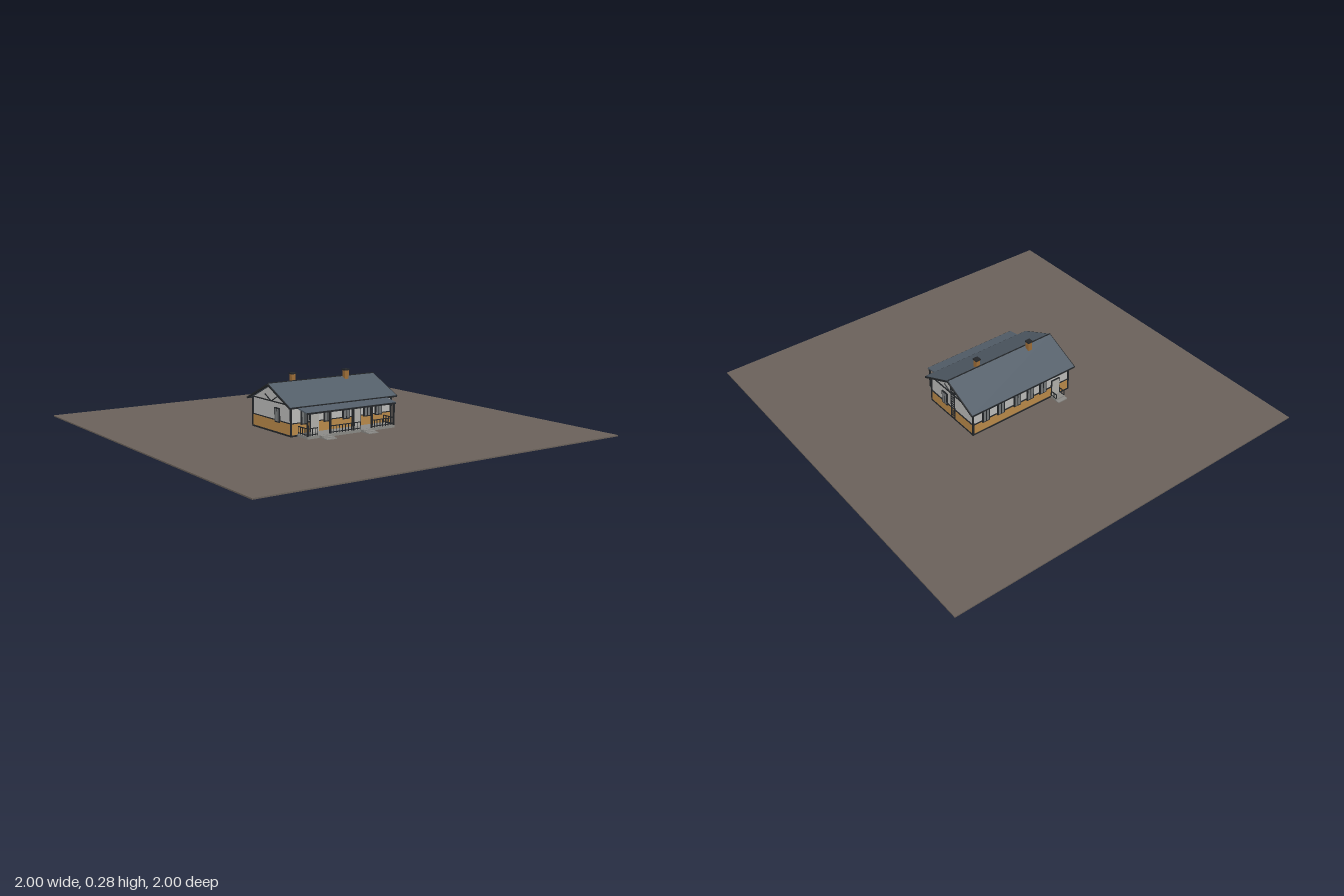
import * as THREE from 'three';

const material = (name, color) => {
  const m = new THREE.MeshStandardMaterial({ color });
  m.name = name;
  return m;
};

export function createModel() {
  const model = new THREE.Group();
  model.name = 'house';
  const paving = material('paving', 0x6b625b);
  const wall = material('wall', 0xbfbfbd);
  const ochre = material('ochre', 0xbd8c4b);
  const slate = material('slate', 0x535e69);
  const trim = material('trim', 0x24272a);
  const glass = material('glass', 0x777a7b);
  const doorPaint = material('doorPaint', 0xb4b3ae);
  const concrete = material('concrete', 0x8d8c88);
  const brick = material('brick', 0xa06f38);

  const add = (name, geometry, mat, parent = model) => {
    const mesh = new THREE.Mesh(geometry, mat);
    mesh.name = name;
    parent.add(mesh);
    return mesh;
  };
  // Box given by its limits on each axis
  const box = (name, mat, x0, x1, y0, y1, z0, z1, parent) =>
    add(name, new THREE.BoxGeometry(x1 - x0, y1 - y0, z1 - z0)
      .translate((x0 + x1) / 2, (y0 + y1) / 2, (z0 + z1) / 2), mat, parent);
  // Outline of [z, y] points drawn out from x0 to x1
  const prism = (name, mat, points, x0, x1) => {
    const shape = new THREE.Shape(points.map(([z, y]) => new THREE.Vector2(-z, y)));
    const g = new THREE.ExtrudeGeometry(shape, { depth: x1 - x0, bevelEnabled: false });
    return add(name, g.rotateY(Math.PI / 2).translate(x0, 0, 0), mat);
  };
  // Square bar between two points
  const bar = (name, mat, a, b, t, parent) => {
    const p = new THREE.Vector3(...a), q = new THREE.Vector3(...b);
    const mesh = add(name, new THREE.BoxGeometry(t, t, p.distanceTo(q)), mat, parent);
    mesh.position.copy(p).add(q).multiplyScalar(0.5);
    mesh.lookAt(q);
    return mesh;
  };

  // Ground
  box('ground', paving, -1, 1, 0, 0.006, -1, 1);

  // Walls with gables, lower cladding and trim
  prism('walls', wall, [[0.168, 0.006], [0.168, 0.153], [0, 0.231], [-0.168, 0.153], [-0.168, 0.006]], -0.292, 0.292);
  box('plinth', trim, -0.297, 0.297, 0.006, 0.014, -0.173, 0.173);
  box('lowerCladding', ochre, -0.295, 0.295, 0.014, 0.067, -0.171, 0.171);
  box('claddingTrim', trim, -0.297, 0.297, 0.067, 0.071, -0.173, 0.173);
  for (const x of [-1, 1]) {
    box('gableTrim', trim, x * 0.294 - 0.003, x * 0.294 + 0.003, 0.152, 0.157, -0.172, 0.172);
    for (const z of [-1, 1]) {
      box('cornerBoard', trim, x * 0.294 - 0.004, x * 0.294 + 0.004, 0.006, 0.152,
        z * 0.17 - 0.004, z * 0.17 + 0.004);
      bar('gableBrace', trim, [x * 0.296, 0.157, z * 0.006], [x * 0.296, 0.182, z * 0.055], 0.004);
    }
  }

  // Main roof, bargeboards and eaves
  for (const s of [-1, 1]) {
    const slope = [[0, 0.231], [s * 0.192, 0.143], [s * 0.192, 0.151], [0, 0.24]];
    prism('roofSlope', slate, slope, -0.312, 0.312);
    box('eavesBoard', trim, -0.313, 0.313, 0.142, 0.15, s * 0.192 - 0.002, s * 0.192 + 0.002);
    for (const x of [-1, 1]) {
      bar('bargeboard', trim, [x * 0.313, 0.234, 0], [x * 0.313, 0.146, s * 0.192], 0.008);
    }
  }
  bar('ridge', trim, [-0.314, 0.24, 0], [0.314, 0.24, 0], 0.005);

  // Chimneys
  for (const [x, z] of [[-0.16, -0.022], [0.13, 0.016]]) {
    box('chimney', brick, x - 0.011, x + 0.011, 0.215, 0.27, z - 0.011, z + 0.011);
    box('chimneyCap', trim, x - 0.014, x + 0.014, 0.27, 0.277, z - 0.014, z + 0.014);
  }

  // Windows and doors face +z, then turn to their wall
  const opening = (name, x, z, turn) => {
    const g = new THREE.Group();
    g.name = name;
    g.position.set(x, 0, z);
    g.rotation.y = turn;
    model.add(g);
    return g;
  };
  const addWindow = (x, z, turn) => {
    const g = opening('window', x, z, turn);
    box('windowFrame', trim, -0.021, 0.021, 0.06, 0.13, -0.003, 0.004, g);
    for (const s of [-1, 1]) {
      box('pane', glass, s * 0.009 - 0.006, s * 0.009 + 0.006, 0.066, 0.124, 0.003, 0.006, g);
    }
  };
  const addDoor = (x, z, turn) => {
    const g = opening('door', x, z, turn);
    box('doorFrame', trim, -0.026, 0.026, 0.016, 0.108, -0.003, 0.004, g);
    box('doorLeaf', doorPaint, -0.022, 0.022, 0.018, 0.104, 0.003, 0.006, g);
  };
  for (const x of [-0.22, -0.09, 0.02, 0.145, 0.215]) addWindow(x, 0.172, 0);
  for (const x of [-0.165, 0.08]) addDoor(x, 0.172, 0);
  for (const x of [0.22, 0.13, 0.03, -0.05, -0.13]) addWindow(x, -0.172, Math.PI);
  addDoor(-0.21, -0.172, Math.PI);
  addWindow(0.296, 0.055, Math.PI / 2);
  addWindow(-0.296, 0.055, -Math.PI / 2);

  // Porch deck, roof and posts
  box('porchDeck', concrete, -0.26, 0.25, 0.006, 0.019, 0.17, 0.257);
  prism('porchRoof', slate, [[0.165, 0.143], [0.262, 0.126], [0.262, 0.132], [0.165, 0.15]], -0.267, 0.253);
  box('porchBeam', trim, -0.265, 0.251, 0.123, 0.131, 0.253, 0.264);
  for (const x of [-0.257, -0.13, 0.005, 0.113, 0.247]) {
    box('porchPost', trim, x - 0.004, x + 0.004, 0.019, 0.126, 0.249, 0.257);
  }

  // Railings with balusters
  const railing = (a, b, y0, y1, count) => {
    const g = new THREE.Group();
    g.name = 'railing';
    model.add(g);
    for (const y of [y0 + 0.006, y1]) bar('rail', trim, [a[0], y, a[1]], [b[0], y, b[1]], 0.004, g);
    for (let i = 0; i <= count; i++) {
      const t = i / count, x = a[0] + (b[0] - a[0]) * t, z = a[1] + (b[1] - a[1]) * t;
      bar('baluster', trim, [x, y0, z], [x, y1, z], 0.003, g);
    }
  };
  for (const [x0, x1, n] of [[-0.257, -0.2, 4], [-0.13, 0.045, 10], [0.113, 0.247, 8]]) {
    railing([x0, 0.253], [x1, 0.253], 0.019, 0.055, n);
  }
  for (const x of [-0.257, 0.247]) railing([x, 0.175], [x, 0.25], 0.019, 0.055, 4);

  // Front steps
  for (const x of [-0.165, 0.077]) {
    for (let i = 0; i < 3; i++) {
      box('frontStep', concrete, x - 0.029, x + 0.029, 0.006, 0.018 - i * 0.004, 0.255, 0.278 + i * 0.02);
    }
  }

  // Back landing and step
  box('backLanding', concrete, -0.24, -0.184, 0.006, 0.018, -0.213, -0.17);
  box('backStep', concrete, -0.24, -0.184, 0.006, 0.011, -0.232, -0.21);
  for (const x of [-0.237, -0.187]) railing([x, -0.175], [x, -0.211], 0.012, 0.043, 2);

  // Ladder on the left gable
  for (const z of [-0.036, -0.009]) {
    bar('ladderRail', trim, [0.304, 0.018, z], [0.304, 0.213, z], 0.004);
  }
  for (let i = 0; i < 14; i++) {
    const y = 0.027 + i * 0.0138;
    bar('ladderRung', trim, [0.304, y, -0.036], [0.304, y, -0.009], 0.004);
  }
  return model;
}
